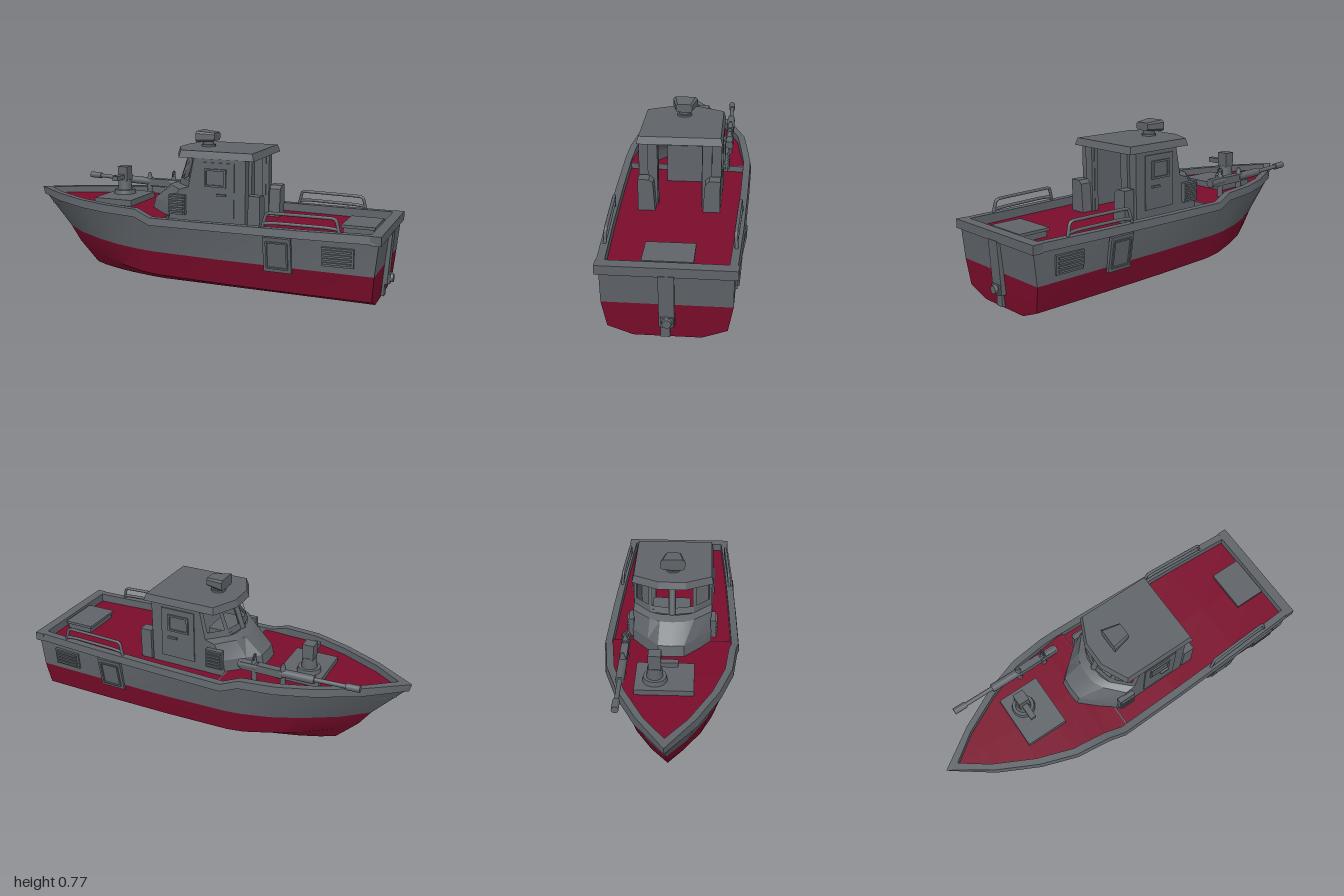
import * as THREE from 'three';
import { toCreasedNormals } from 'three/addons/utils/BufferGeometryUtils.js';

const grey = new THREE.MeshStandardMaterial({ color: 0x5f6469, side: THREE.DoubleSide });
grey.name = 'hull grey';
const red = new THREE.MeshStandardMaterial({ color: 0x7a0c2b, side: THREE.DoubleSide });
red.name = 'deck red';

export function createModel() {
  const boat = new THREE.Group();
  boat.name = 'patrolBoat';

  const add = (name, geo, mat = grey, parent = boat) => {
    const m = new THREE.Mesh(geo, mat);
    m.name = name;
    parent.add(m);
    return m;
  };
  const box = (name, x0, x1, y0, y1, z0, z1, mat = grey, parent = boat) => {
    const m = add(name, new THREE.BoxGeometry(x1 - x0, y1 - y0, z1 - z0), mat, parent);
    m.position.set((x0 + x1) / 2, (y0 + y1) / 2, (z0 + z1) / 2);
    return m;
  };
  const rod = (name, a, b, r0, r1 = r0, sides = 16) => {
    const p = new THREE.Vector3(...a), q = new THREE.Vector3(...b), d = q.clone().sub(p);
    const m = add(name, new THREE.CylinderGeometry(r1, r0, d.length(), sides));
    m.position.copy(p).add(q).multiplyScalar(0.5);
    m.quaternion.setFromUnitVectors(new THREE.Vector3(0, 1, 0), d.normalize());
    return m;
  };
  const fromQuads = (quads, crease = 0.6) => {
    const v = [];
    for (const [a, b, c, d] of quads) v.push(...a, ...b, ...c, ...a, ...c, ...d);
    const g = new THREE.BufferGeometry();
    g.setAttribute('position', new THREE.Float32BufferAttribute(v, 3));
    return toCreasedNormals(g, crease);
  };
  const flip = ([x, y, z]) => [x, y, -z];
  // Surface between successive lines of points, mirrored across the centreline
  const loft = (lines, crease) => {
    const quads = [];
    for (let j = 0; j + 1 < lines.length; j++) {
      const a = lines[j], b = lines[j + 1];
      for (let i = 0; i + 1 < a.length; i++) {
        quads.push([a[i], a[i + 1], b[i + 1], b[i]]);
        quads.push([a[i + 1], a[i], b[i], b[i + 1]].map(flip));
      }
    }
    return fromQuads(quads, crease);
  };
  const line = (xs, ys, zs) => xs.map((x, i) => [x, ys[i], zs[i]]);

  // Hull lines from bow to stern
  const bottom = line([-.65, -.58, -.48, -.38, -.24, -.15, .2, .6, .94], Array(9).fill(0),
    [0, .04, .08, .11, .14, .15, .15, .15, .15]);
  const keel = bottom.map(([x, y]) => [x, y, 0]);
  const chine = line([-.76, -.66, -.52, -.38, -.24, -.15, .2, .6, .945],
    [.11, .095, .08, .068, .055, .05, .047, .045, .045], [0, .075, .155, .21, .248, .258, .265, .265, .262]);
  const water = line([-.82, -.69, -.52, -.38, -.24, -.15, .2, .6, .955],
    [.195, .19, .186, .183, .18, .178, .176, .174, .172], [0, .1, .19, .245, .278, .287, .295, .291, .285]);
  const railX = [-1, -.8, -.6, -.42, -.24, -.15, .2, .6, .97];
  const railZ = [0, .142, .245, .308, .33, .345, .337, .323, .303];
  const railLow = [.365, .362, .36, .36, .357, .325, .325, .325, .327];
  const railTop = [.405, .403, .4, .4, .396, .362, .362, .363, .366];
  const gunwale = railX.map((x, i) => [i ? x : -.975, railLow[i], railZ[i] * .94]);
  add('lowerHull', loft([keel, bottom, chine, water]), red);
  add('upperHull', loft([water, gunwale]));

  // Transom
  const end = (l) => l[l.length - 1];
  const cross = (a, b) => [a, flip(a), flip(b), b];
  add('lowerTransom', fromQuads([cross(end(bottom), end(chine)), cross(end(chine), end(water))]), red);
  add('upperTransom', fromQuads([cross(end(water), end(gunwale))]));

  // Gunwale rail and inner bulwark
  const inner = (y) => railX.map((x, i) => [i ? x : -.935, y[i], Math.max(0, railZ[i] - .042)]);
  const outerLow = railX.map((x, i) => [i ? x : -.99, railLow[i], railZ[i]]);
  const outerTop = railX.map((x, i) => [x, railTop[i], Math.max(0, railZ[i] - .006)]);
  add('gunwaleRail', loft([gunwale, outerLow, outerTop, inner(railTop), inner(railTop.map(() => .315))], .4));
  box('sternRail', .932, .983, .322, .366, -.303, .303);

  // Decks
  const deckLine = inner([.372, .368, .365, .362, .355, .35, .32, .32, .32]);
  const foreEdge = [...deckLine.slice(0, 6), [-.115, .35, .302]];
  const aftEdge = [[-.115, .32, .302], ...deckLine.slice(6)];
  for (const [name, edge] of [['foreDeck', foreEdge], ['aftDeck', aftEdge]])
    add(name, loft([edge, edge.map(([x, y]) => [x, y, 0])]), red);
  box('deckStep', -.12, -.112, .315, .35, -.3, .3);
  box('sternHatch', .765, .91, .32, .35, -.105, .105);
  box('sternHatchLid', .755, .918, .348, .362, -.112, .112);

  // Cabin hood, widening from its blunt nose to the side walls
  const ring = (y, pts) => pts.map(([x, z]) => [x, y, z]);
  add('cabinHood', loft([
    ring(.33, [[-.275, 0], [-.27, .065], [-.21, .12], [-.11, .2]]),
    ring(.41, [[-.255, 0], [-.25, .065], [-.19, .12], [-.1, .2]]),
    ring(.49, [[-.16, 0], [-.155, .06], [-.13, .112], [-.05, .2]]),
    ring(.505, [[-.115, 0], [-.11, .06], [-.09, .11], [0, .2]]),
  ], .3));

  // Windscreen frames: four quads around each opening
  const mix = (a, b, t) => a.map((v, i) => v + (b[i] - v) * t);
  const frame = (a, b, c, d, u0, u1, v0, v1) => {
    const at = (u, v) => mix(mix(a, b, u), mix(d, c, u), v);
    const o = [a, b, c, d], h = [at(u0, v0), at(u1, v0), at(u1, v1), at(u0, v1)];
    return o.map((p, i) => [p, o[(i + 1) % 4], h[(i + 1) % 4], h[i]]);
  };
  const low = [[-.115, .505, 0], [-.09, .505, .11], [0, .505, .2]];
  const high = [[-.065, .652, 0], [-.04, .652, .11], [.03, .652, .2]];
  const panes = [0, 1].flatMap((i) =>
    frame(low[i], low[i + 1], high[i + 1], high[i], i ? .12 : .17, i ? .85 : .94, .22, .94));
  add('windscreenFrame', fromQuads([...panes, ...panes.map((q) => q.map(flip).reverse())], .2));
  rod('windscreenPost', [-.112, .505, 0], [-.062, .65, 0], .016, .016, 8);

  // Cabin sides, doors, rear bulkheads and vents
  const wall = new THREE.Shape([[-.11, .318], [.3, .318], [.3, .652], [.03, .652], [0, .505], [-.05, .49], [-.1, .41]]
    .map((p) => new THREE.Vector2(...p)));
  const wing = new THREE.Shape([[.115, .318], [.198, .318], [.198, .482], [.145, .482], [.125, .465]]
    .map((p) => new THREE.Vector2(...p)));
  const wallGeo = new THREE.ExtrudeGeometry(wall, { depth: .018, bevelEnabled: false });
  const wingGeo = new THREE.ExtrudeGeometry(wing, { depth: .06, bevelEnabled: false }).rotateY(-Math.PI / 2);
  for (const s of [1, -1]) {
    const side = s > 0 ? 'left' : 'right';
    const sbox = (name, x0, x1, y0, y1, z0, z1) =>
      box(side + name, x0, x1, y0, y1, Math.min(z0 * s, z1 * s), Math.max(z0 * s, z1 * s));
    add(side + 'CabinWall', wallGeo).position.z = s > 0 ? .182 : -.2;
    sbox('CabinDoor', .06, .245, .365, .635, .198, .206);
    for (const [x0, x1, y0, y1] of [[.09, .205, .595, .605], [.09, .205, .515, .525], [.09, .1, .525, .595], [.195, .205, .525, .595]])
      sbox('DoorWindowFrame', x0, x1, y0, y1, .206, .214);
    sbox('DoorHandle', .155, .205, .472, .482, .205, .217);
    sbox('RearBulkhead', .282, .302, .318, .652, .105, .2);
    sbox('RearPost', .3, .318, .318, .645, .108, .155);
    // Short wing screen behind the bulkhead
    const w = add(side + 'WingScreen', s > 0 ? wingGeo : wingGeo.clone().rotateY(Math.PI));
    w.position.x = s > 0 ? .375 : .315;
    // Louvred air intake
    sbox('IntakeBox', -.1, -.012, .365, .465, .195, .222);
    for (let i = 0; i < 5; i++) sbox('IntakeSlat', -.094, -.018, .375 + i * .018, .384 + i * .018, .22, .231);

    // Boarding panel and louvred vent on the hull side
    const panel = new THREE.Group();
    panel.name = side + 'BoardingPanel';
    panel.position.set(.503, .235, s * .306);
    panel.rotation.x = s * .17;
    boat.add(panel);
    box('panelPlate', -.068, .068, -.087, .087, -.008, .008, grey, panel);
    for (const k of [-1, 1]) {
      box('panelStile', k * .05 - .004, k * .05 + .004, -.065, .065, -.015, .015, grey, panel);
      box('panelBar', -.05, .05, k * .065 - .004, k * .065 + .004, -.015, .015, grey, panel);
    }
    const vent = new THREE.Group();
    vent.name = side + 'HullVent';
    vent.position.set(.787, .25, s * .292);
    vent.rotation.set(s * .07, s * .03, 0);
    boat.add(vent);
    box('ventPlate', -.075, .075, -.045, .045, -.01, .01, grey, vent);
    for (let i = 0; i < 4; i++) box('ventSlat', -.065, .065, -.034 + i * .02, -.024 + i * .02, -.018, .018, grey, vent);

    // Handrail with a lower bar
    const rail = (name, pts) => add(side + name, new THREE.TubeGeometry(
      new THREE.CatmullRomCurve3(pts.map(([x, y, z]) => new THREE.Vector3(x, y, z * s)), false, 'catmullrom', .2), 40, .008, 8));
    rail('Handrail', [[.425, .355, .305], [.44, .415, .3], [.46, .43, .298], [.75, .428, .285], [.775, .415, .285], [.79, .355, .288]]);
    rail('HandrailLowerBar', [[.435, .38, .303], [.5, .385, .3], [.72, .383, .288], [.785, .378, .287]]);
  }
  box('console', -.09, .03, .318, .52, -.1, .09);

  // Roof, tapering slightly towards its top
  const roofShape = new THREE.Shape([[-.115, -.07], [-.05, -.206], [.345, -.206], [.345, .206], [-.05, .206], [-.115, .07]]
    .map((p) => new THREE.Vector2(...p)));
  const roof = new THREE.ExtrudeGeometry(roofShape, { depth: .036, bevelEnabled: false }).rotateX(Math.PI / 2).translate(0, .688, 0);
  const rp = roof.attributes.position;
  for (let i = 0; i < rp.count; i++)
    if (rp.getY(i) > .67) rp.setXYZ(i, .12 + (rp.getX(i) - .12) * .95, rp.getY(i), rp.getZ(i) * .95);
  add('cabinRoof', toCreasedNormals(roof, .3));

  // Radar head on the roof
  rod('radarBase', [.025, .685, 0], [.025, .698, 0], .037);
  rod('radarStem', [.025, .69, 0], [.025, .718, 0], .028);
  const head = new THREE.Shape([[-.05, .71], [.05, .71], [.062, .722], [.062, .757], [.05, .768], [-.05, .768], [-.062, .757], [-.062, .722]]
    .map((p) => new THREE.Vector2(...p)));
  const headGeo = new THREE.ExtrudeGeometry(head, { depth: .095, bevelEnabled: false }).rotateY(Math.PI / 2).translate(-.022, 0, 0);
  const hp = headGeo.attributes.position;
  for (let i = 0; i < hp.count; i++)
    if (hp.getX(i) > .03) hp.setXYZ(i, hp.getX(i), .738 + (hp.getY(i) - .738) * .7, hp.getZ(i) * .65);
  add('radarHead', toCreasedNormals(headGeo, .2));

  // Foredeck mount
  box('mountPlinth', -.59, -.37, .345, .392, -.16, .12);
  rod('mountCollar', [-.505, .39, -.065], [-.505, .415, -.065], .06, .055, 24);
  rod('mountPedestal', [-.505, .41, -.065], [-.505, .47, -.065], .04, .034, 20);
  box('mountHead', -.532, -.475, .465, .542, -.095, -.035);
  box('mountArm', -.52, -.49, .475, .5, -.035, .045);

  // Long deck gun on the right-hand side
  const gz = -.222;
  rod('gunMuzzle', [-.812, .452, gz], [-.745, .449, gz], .017);
  rod('gunBarrel', [-.75, .449, gz], [-.56, .442, gz], .011);
  rod('gunSleeve', [-.59, .442, gz], [-.42, .437, gz], .021);
  box('gunBody', -.43, -.21, .415, .455, gz - .018, gz + .018);
  rod('gunBreech', [-.3, .44, gz], [-.2, .435, gz], .022);
  for (const x of [-.43, -.28]) {
    rod('gunSight', [x, .445, gz], [x, .487, gz], .018, .008, 8);
    rod('gunSupport', [x, .35, gz], [x, .43, gz], .014);
  }
  const hoop = add('gunHoop', new THREE.TorusGeometry(.015, .004, 8, 16));
  hoop.position.set(-.28, .488, gz);
  hoop.rotation.y = Math.PI / 2;

  // Stern drive: post down the transom, block and tapered skeg
  const post = box('sternPost', .945, .978, .07, .328, -.034, .034);
  post.rotation.z = -.06;
  box('driveBlock', .95, .982, .072, .12, -.03, .026);
  rod('driveNozzle', [.97, .097, -.002], [.995, .097, -.002], .026, .02, 12);
  box('skeg', .935, .957, .008, .075, -.014, .028);

  return boat;
}
